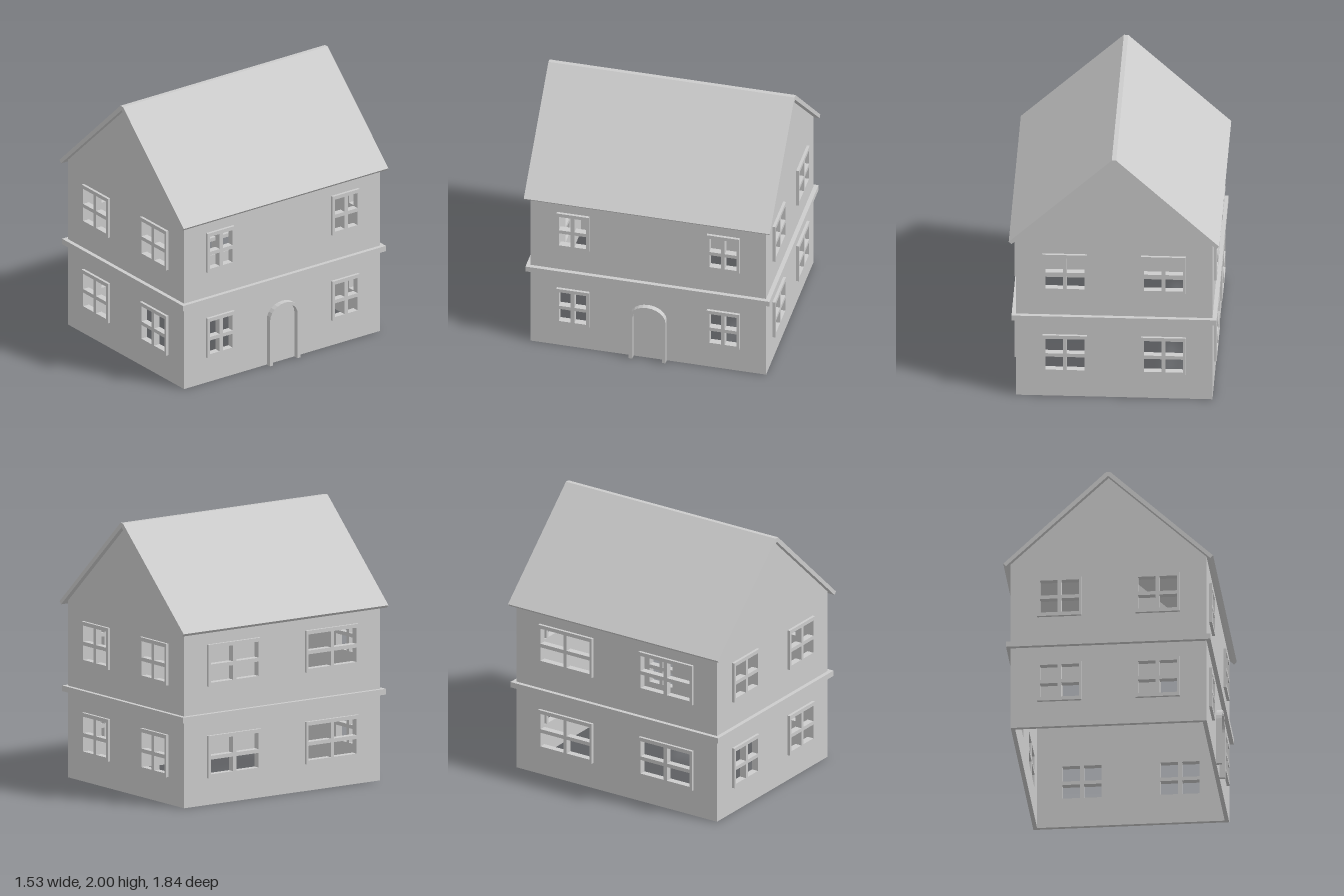
import * as THREE from 'three';

const material = new THREE.MeshStandardMaterial({ color: 0xcccccc, flatShading: true });
const HX = 0.714, HZ = 0.88, WALL = 0.03; // half width, half depth, wall thickness
const EAVE = 1.31, PEAK = 1.97;
const ROWS = [[0.2, 0.513], [0.878, 1.188]]; // window bottoms and tops

const polygon = (pts) => new THREE.Shape(pts.map(([x, y]) => new THREE.Vector2(x, y)));
const rect = (x0, y0, x1, y1) => polygon([[x0, y0], [x1, y0], [x1, y1], [x0, y1]]);

function extrude(name, shape, depth, z = 0) {
  const geometry = new THREE.ExtrudeGeometry(shape, { depth, bevelEnabled: false });
  const mesh = new THREE.Mesh(geometry.translate(0, 0, z), material);
  mesh.name = name;
  return mesh;
}

// Four-pane window, set through the wall and standing proud of it
function windowFrame(x, width, [y0, y1]) {
  const x0 = x - width / 2, x1 = x + width / 2;
  const side = 0.02, edge = 0.028, bar = 0.014;
  const midY = (y0 + y1) / 2 - 0.006;
  const shape = rect(x0, y0, x1, y1);
  for (const [a, b] of [[x0 + side, x - bar], [x + bar, x1 - side]]) {
    for (const [c, d] of [[y0 + edge, midY - bar], [midY + bar, y1 - edge]]) {
      shape.holes.push(rect(a, c, b, d));
    }
  }
  return extrude('windowFrame', shape, WALL + 0.021, -WALL);
}

// Wall with its outer face on local z = 0, and two windows per storey
function wall(name, outline, centre, width) {
  const group = new THREE.Group();
  group.name = name;
  const shape = polygon(outline);
  for (const row of ROWS) {
    for (const s of [-1, 1]) {
      const x = s * centre, w = width / 2 - 0.008;
      shape.holes.push(rect(x - w, row[0] + 0.008, x + w, row[1] - 0.008));
      group.add(windowFrame(x, width, row));
    }
  }
  group.add(extrude(name + 'Panel', shape, WALL, -WALL));
  return group;
}

// Points along an arch from foot to foot
function arch(halfWidth, spring, rise) {
  const pts = [[halfWidth, 0]];
  for (let i = 0; i <= 12; i++) {
    const a = (i / 12) * Math.PI;
    pts.push([halfWidth * Math.cos(a), spring + rise * Math.sin(a)]);
  }
  pts.push([-halfWidth, 0]);
  return pts;
}

export function createModel() {
  const house = new THREE.Group();
  house.name = 'house';

  // Gable walls, front and back
  const gable = [[-HX, 0], [HX, 0], [HX, EAVE], [0, PEAK], [-HX, EAVE]];
  for (const [name, turn, z] of [['frontWall', 0, HZ], ['backWall', Math.PI, -HZ]]) {
    const g = wall(name, gable, 0.358, 0.324);
    g.rotation.y = turn;
    g.position.z = z;
    house.add(g);
  }

  // Side walls fit between the gables; the left one has wider windows
  const d = HZ - WALL;
  const sideOutline = [[-d, 0], [d, 0], [d, EAVE], [-d, EAVE]];
  for (const [name, s, centre, width] of [['rightWall', 1, 0.562, 0.243], ['leftWall', -1, 0.44, 0.47]]) {
    const g = wall(name, sideOutline, centre, width);
    g.rotation.y = s * Math.PI / 2;
    g.position.x = s * HX;
    house.add(g);
    // Raised arched door surround
    if (s > 0) {
      const outer = arch(0.137, 0.36, 0.112), inner = arch(0.11, 0.36, 0.09).reverse();
      g.add(extrude('doorSurround', polygon([...outer, ...inner]), 0.041));
    }
  }

  // String course around the house between the storeys
  const course = rect(-0.745, -0.912, 0.745, 0.912);
  course.holes.push(rect(-HX, -HZ, HX, HZ));
  const band = extrude('stringCourse', course, 0.042);
  band.rotation.x = -Math.PI / 2;
  band.position.y = 0.637;
  house.add(band);

  // Pitched roof with a flat ridge
  const roof = polygon([
    [0.745, 1.28], [0.765, 1.3], [0.016, 2], [-0.016, 2], [-0.765, 1.3], [-0.745, 1.28], [0, PEAK],
  ]);
  house.add(extrude('roof', roof, 1.84, -0.92));

  return house;
}
